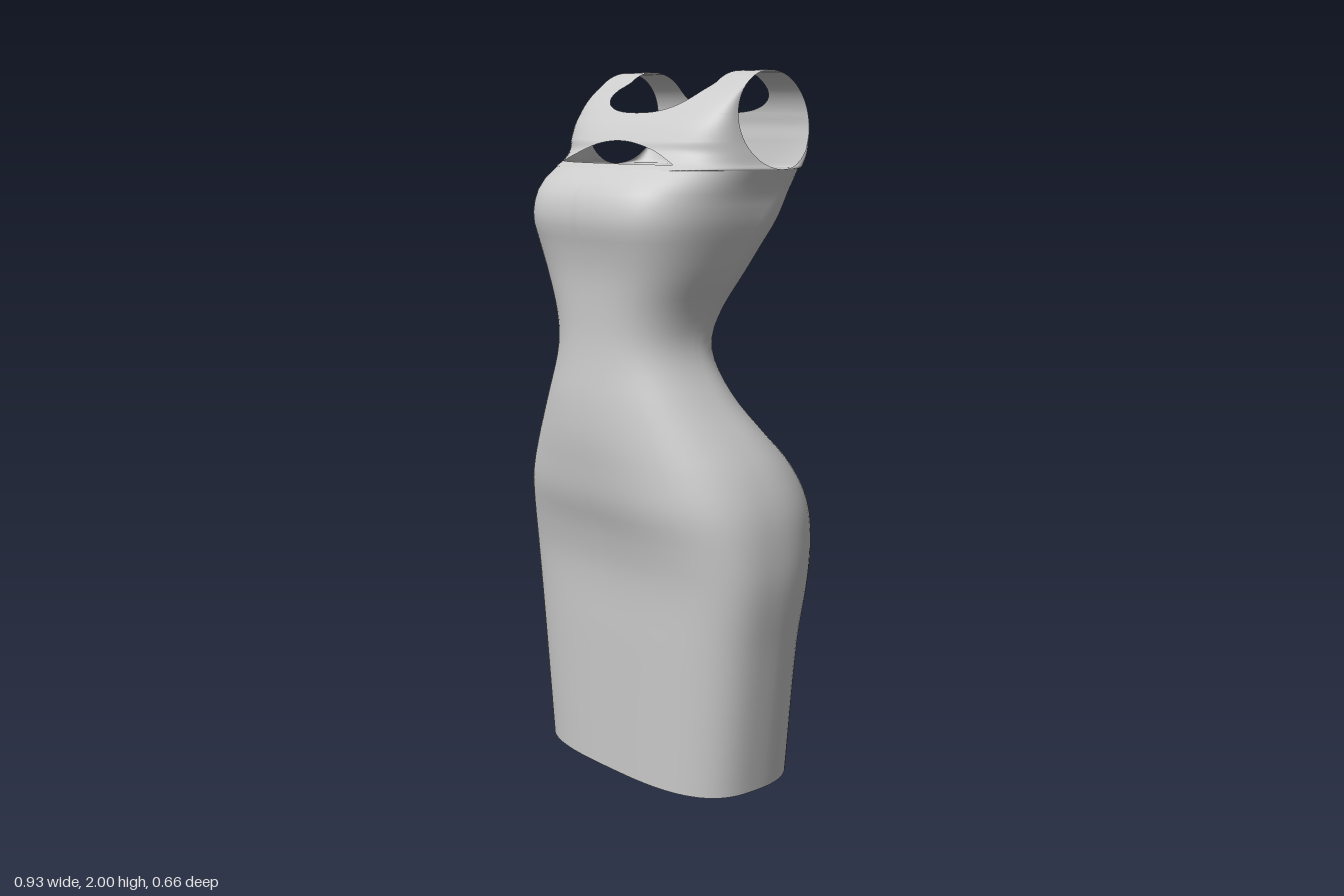
import * as THREE from 'three';
import { mergeVertices } from 'three/addons/utils/BufferGeometryUtils.js';

// Cross-sections: height, half width, front z, back z, z of widest point, front squareness
const SECTIONS = [
  [0, 0.4, 0.22, -0.27, 0, 3],
  [0.4, 0.442, 0.23, -0.28, 0, 3],
  [0.6, 0.464, 0.236, -0.315, 0, 3],
  [0.72, 0.461, 0.258, -0.33, 0, 2.9],
  [0.82, 0.446, 0.288, -0.315, 0, 2.7],
  [0.92, 0.41, 0.303, -0.255, 0.01, 2.5],
  [1.0, 0.365, 0.311, -0.18, 0.03, 2.4],
  [1.1, 0.3, 0.31, -0.105, 0.07, 2.4],
  [1.2, 0.247, 0.3, -0.062, 0.09, 2.5],
  [1.27, 0.232, 0.295, -0.057, 0.09, 2.6],
  [1.35, 0.246, 0.295, -0.085, 0.07, 2.8],
  [1.45, 0.283, 0.3, -0.135, 0.03, 3.2],
  [1.53, 0.306, 0.314, -0.175, -0.01, 3.5],
  [1.6, 0.323, 0.33, -0.205, -0.06, 3.6],
  [1.68, 0.334, 0.312, -0.23, -0.1, 3.3],
  [1.735, 0.355, 0.255, -0.24, -0.115, 2.7],
  [1.75, 0.348, 0.223, -0.242, -0.115, 2.6],
  [1.78, 0.339, 0.182, -0.245, -0.115, 2.6],
  [1.81, 0.331, 0.168, -0.247, -0.115, 2.7],
  [1.87, 0.32, 0.12, -0.248, -0.115, 3],
  [1.94, 0.311, 0.036, -0.21, -0.115, 3],
  [2.0, 0.305, -0.115, -0.115, -0.115, 3],
];
const ARMPIT = 1.735, SLIT = 1.75, SLIT_TOP = 1.81, NECK = 1.885, TOP = 2;
const CUT = 0.68; // slit half width as a share of the section
const OUTER = 20, INNER = 10; // columns outside and inside the cut

// Smooth interpolation of one column of the section table
function sample(col, y) {
  const S = SECTIONS, last = S.length - 1;
  let k = 0;
  while (k < last - 1 && y > S[k + 1][0]) k++;
  const slope = (i) => {
    const a = S[Math.max(i - 1, 0)], b = S[Math.min(i + 1, last)];
    return (b[col] - a[col]) / (b[0] - a[0]);
  };
  const h = S[k + 1][0] - S[k][0], t = (y - S[k][0]) / h, t2 = t * t, t3 = t2 * t;
  return S[k][col] * (2 * t3 - 3 * t2 + 1) + h * slope(k) * (t3 - 2 * t2 + t)
    + S[k + 1][col] * (3 * t2 - 2 * t3) + h * slope(k + 1) * (t3 - t2);
}

// Share of the half width at which the cloth is cut (slit or neckline) at height y
function cutRatio(y, front, w) {
  if (y >= NECK) {
    const s = Math.min((y - NECK) / 0.075, 1);
    return 0.183 * Math.pow(1 - Math.pow(1 - s, 2.4), 1 / 2.4) / w;
  }
  if (!front) return 0;
  if (y <= SLIT) return CUT;
  return CUT * Math.sqrt(Math.max(0, 1 - (y - SLIT) / (SLIT_TOP - SLIT)));
}

// One row of points from the side seam or armhole edge to the centre line
function row(y, front) {
  const w = sample(1, y);
  // the back grows squarer from waist to shoulder blades
  const n = front ? sample(5, y) : 2.4 + 1.1 * THREE.MathUtils.smoothstep(y, 1.3, 1.78);
  let edge = sample(4, y), mid = sample(front ? 2 : 3, y);
  if (y > ARMPIT) {
    // round armhole opens between the front and back panels
    const d = (y - 1.8675) / 0.1325, open = Math.sqrt(Math.max(0, 1 - d * d));
    edge = -0.115 + open * (front ? 0.135 : -0.13);
    mid = front ? Math.max(mid, edge + 0.002 * open) : Math.min(mid, edge - 0.003 * open);
  }
  const q = cutRatio(y, front, w);
  const cut = Math.atan2(Math.pow(1 - Math.pow(q, n), 1 / n), q);
  const pts = [];
  for (let j = 0; j <= OUTER + INNER; j++) {
    const a = j <= OUTER ? cut * j / OUTER
      : cut + (Math.PI / 2 - cut) * (j - OUTER) / INNER;
    const c = Math.max(0, Math.cos(a)), s = Math.sin(a);
    const r = Math.pow(Math.pow(c, n) + Math.pow(s, n), -1 / n);
    pts.push([w * c * r, y, edge + (mid - edge) * s * r]);
  }
  return pts;
}

// Row heights, denser towards the tips of the openings
function heights() {
  const ys = [0];
  const add = (end, count, ease) => {
    const start = ys[ys.length - 1];
    for (let i = 1; i < count; i++) ys.push(start + (end - start) * ease(i / count));
    ys.push(end);
  };
  const linear = (t) => t, slowIn = (t) => t * t, slowOut = (t) => 1 - (1 - t) * (1 - t);
  add(ARMPIT, 56, linear);
  add(SLIT, 5, slowIn);
  add(SLIT_TOP, 12, slowOut);
  add(NECK, 8, linear);
  add(1.96, 12, slowIn);
  add(TOP, 8, slowOut);
  return ys;
}

export function createModel() {
  const ys = heights(), pos = [];
  for (const front of [true, false]) {
    const rows = ys.map((y) => row(y, front));
    for (let i = 0; i < ys.length - 1; i++) {
      const y = (ys[i] + ys[i + 1]) / 2;
      const open = y > NECK || (front && y > SLIT && y < SLIT_TOP);
      const cols = open ? OUTER : OUTER + INNER;
      for (let j = 0; j < cols; j++) {
        const a = rows[i][j], b = rows[i][j + 1], c = rows[i + 1][j + 1], d = rows[i + 1][j];
        for (const side of [1, -1]) {
          const flip = (side < 0) === front;
          const put = (p) => pos.push(side * p[0], p[1], p[2]);
          (flip ? [a, c, d, a, b, c] : [a, d, c, a, c, b]).forEach(put);
        }
      }
    }
  }
  // Weld the two panels and their mirrored halves into one smooth shell
  let geo = new THREE.BufferGeometry();
  geo.setAttribute('position', new THREE.Float32BufferAttribute(pos, 3));
  geo = mergeVertices(geo, 1e-5);
  geo.computeVertexNormals();

  const dress = new THREE.Mesh(geo, new THREE.MeshStandardMaterial({ color: 0xcccccc, side: THREE.DoubleSide }));
  dress.name = 'dress';
  const group = new THREE.Group();
  group.name = 'sleevelessDress';
  group.add(dress);
  return group;
}
